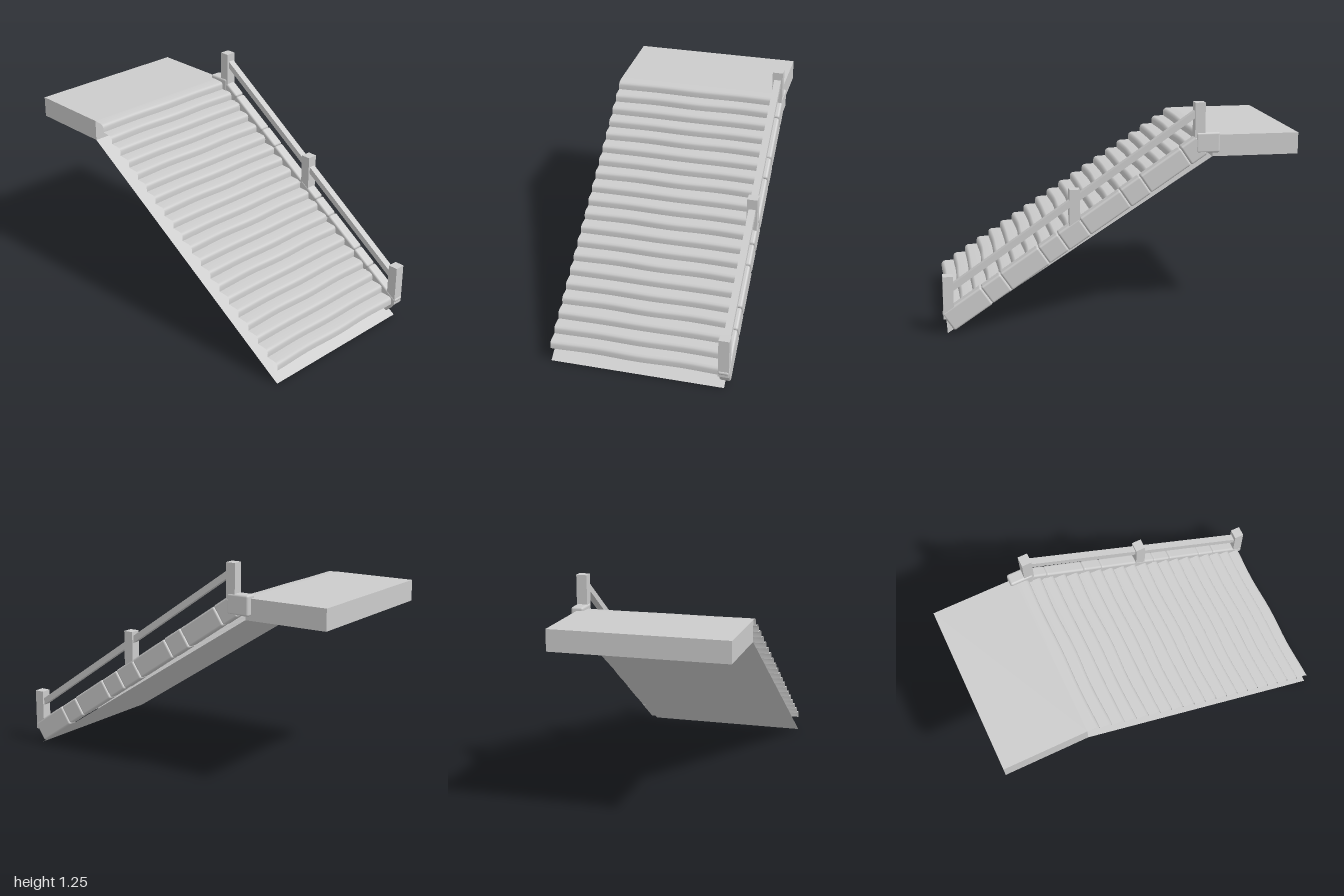
import * as THREE from 'three';
import { RoundedBoxGeometry } from 'three/addons/geometries/RoundedBoxGeometry.js';

const mat = new THREE.MeshStandardMaterial({ color: 0xcccccc });
const sheetMat = new THREE.MeshStandardMaterial({ color: 0xcccccc, side: THREE.DoubleSide });

const X0 = -0.51, X1 = 0.475;            // stair width
const STEPS = 20, RISE = 0.049, RUN = 0.0742;
const FRONT = 0.97, BASE = 0.085;        // foot of the first riser
const SLAB_FRONT = -0.51, SLAB_TOP = 1.065, SLAB_BOTTOM = 0.945;

function add(group, name, geometry, x = 0, y = 0, z = 0, material = mat) {
  const mesh = new THREE.Mesh(geometry, material);
  mesh.name = name;
  mesh.position.set(x, y, z);
  group.add(mesh);
  return mesh;
}

// Sheet lofted from rows of points; rows run upward, columns run toward +x
function sheet(rows) {
  const cols = rows[0].length, index = [];
  for (let j = 0; j < rows.length - 1; j++) {
    for (let i = 0; i < cols - 1; i++) {
      const a = j * cols + i, c = a + cols;
      index.push(a, a + 1, c + 1, a, c + 1, c);
    }
  }
  const g = new THREE.BufferGeometry();
  g.setAttribute('position', new THREE.Float32BufferAttribute(rows.flat(2), 3));
  g.setIndex(index);
  g.computeVertexNormals();
  return g;
}

// Worn nosing: shallow wave across the width, different on each step
function wear(step, t) {
  const amp = 0.004 + 0.003 * Math.sin(step * 2.1);
  return amp * (Math.cos(t * Math.PI * 4) - 1) * (step % 3 === 1 ? 0.4 : 1);
}

function stepGeometry(k) {
  const z = FRONT - k * RUN, y = BASE + k * RISE;
  const depth = k === STEPS - 1 ? z - SLAB_FRONT : RUN;
  // riser, rounded nose, tread: [setback, height, amount of wear]
  const profile = [[0, 0, 1], [0, 0.026, 1], [0.005, 0.039, 1], [0.018, 0.046, 0.8], [depth, RISE, 0]];
  return sheet(profile.map(([back, up, w], j) => {
    const row = [];
    for (let i = 0; i <= 16; i++) {
      const t = i / 16;
      const worn = j === 4 && k < STEPS - 1 ? wear(k + 1, t) : w * wear(k, t);
      row.push([X0 + (X1 - X0) * t, y + up, z - back + worn]);
    }
    return row;
  }));
}

export function createModel() {
  const model = new THREE.Group();
  model.name = 'staircase';

  // Treads
  const steps = new THREE.Group();
  steps.name = 'steps';
  for (let k = 0; k < STEPS; k++) add(steps, 'step', stepGeometry(k), 0, 0, 0, sheetMat);
  model.add(steps);

  // Sloping underside, a single thin sheet from the ground to the landing
  add(model, 'underside', sheet([
    [[X0, 0, FRONT], [X1, 0, FRONT]],
    [[X0, SLAB_BOTTOM, SLAB_FRONT], [X1, SLAB_BOTTOM, SLAB_FRONT]],
  ]), 0, 0, 0, sheetMat);

  // Landing slab
  add(model, 'landing',
    new THREE.BoxGeometry(X1 - X0, SLAB_TOP - SLAB_BOTTOM, SLAB_FRONT + 1),
    (X0 + X1) / 2, (SLAB_TOP + SLAB_BOTTOM) / 2, (SLAB_FRONT - 1) / 2);

  // Kerb of stones along the slope on the left side
  const kerb = new THREE.Group();
  kerb.name = 'kerb';
  const cuts = [0, 0.258, 0.387, 0.64, 0.77, 0.915, 1.186, 1.32, 1.59, 1.7];
  const angle = 0.59, c = Math.cos(angle), s = Math.sin(angle);
  for (let i = 0; i < cuts.length - 1; i++) {
    const mid = (cuts[i] + cuts[i + 1]) / 2, len = cuts[i + 1] - cuts[i];
    const thick = 0.12 - (i % 2) * 0.004;
    const stone = add(kerb, 'kerbStone', new RoundedBoxGeometry(0.064, thick, len, 3, 0.012),
      0.473, 0.02 + s * mid + c * 0.06, 0.933 - c * mid + s * 0.06);
    stone.rotation.x = angle;
  }
  add(kerb, 'topStone', new RoundedBoxGeometry(0.07, 0.115, 0.135, 3, 0.012), 0.472, 1.028, -0.478);
  model.add(kerb);

  // Posts: [z, bottom, top]
  for (const [z, low, high] of [[0.962, 0.09, 0.33], [0.263, 0.53, 0.79], [-0.432, 1.0, 1.25]]) {
    add(model, 'post', new THREE.BoxGeometry(0.06, high - low, 0.057), 0.473, (low + high) / 2, z);
  }

  // Handrail, a bar running through the posts
  const rise = 0.915, run = 1.335;
  const rail = add(model, 'handrail', new THREE.BoxGeometry(0.04, 0.034, Math.hypot(rise, run) + 0.03),
    0.473, 0.727, 0.2625);
  rail.rotation.x = Math.atan2(rise, run);

  return model;
}
